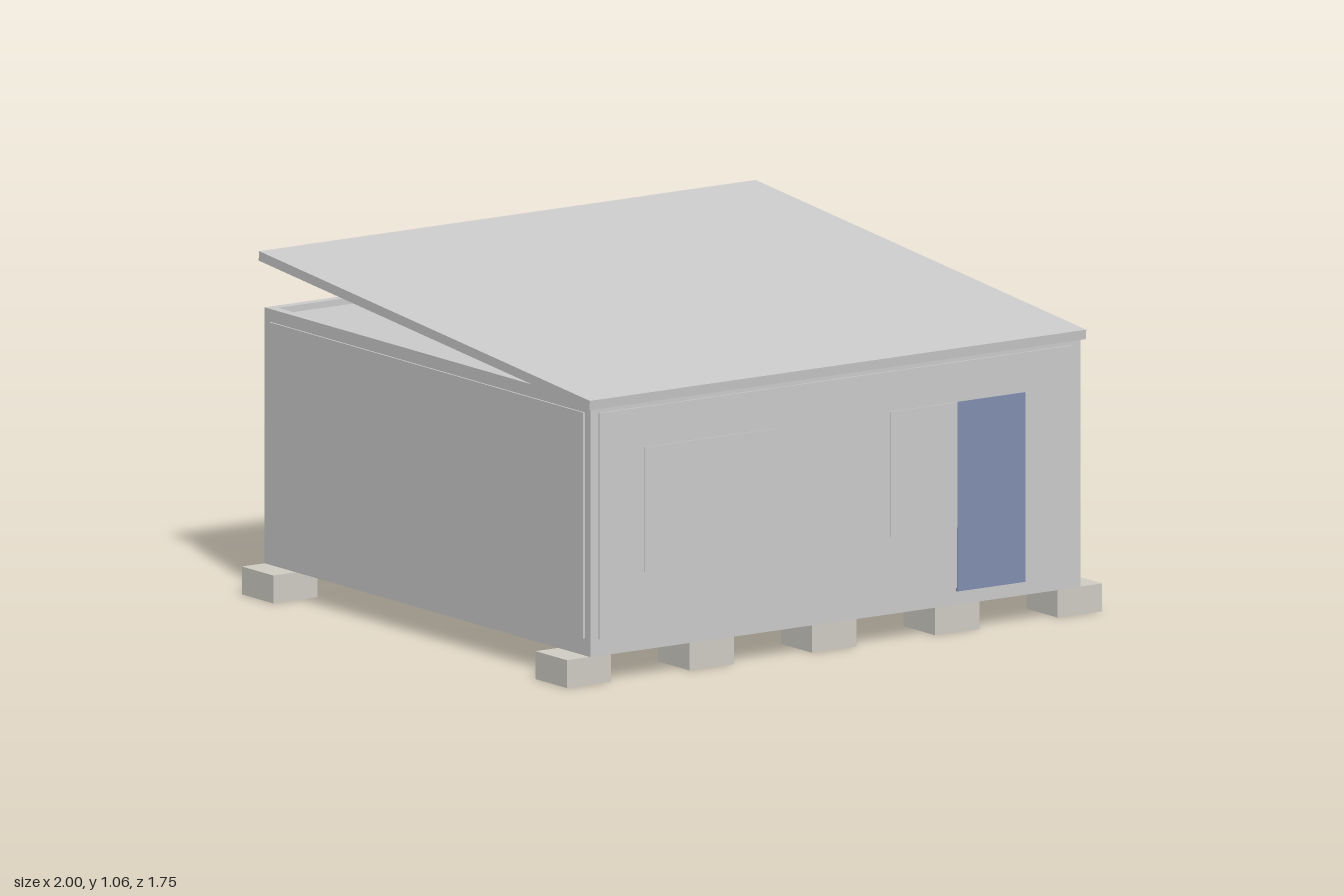
import * as THREE from 'three';

export function createModel() {
  const model = new THREE.Group();
  const paint = (color) => new THREE.MeshStandardMaterial({ color });
  const grey = paint(0xcccccc);
  const concrete = paint(0xd0cdc5);
  const timber = paint(0xd8ceb9);
  const blue = paint(0x828fb1);

  // Box given by its extents along each axis
  function block(name, [x0, x1], [y0, y1], [z0, z1], material = grey) {
    const mesh = new THREE.Mesh(new THREE.BoxGeometry(x1 - x0, y1 - y0, z1 - z0), material);
    mesh.position.set((x0 + x1) / 2, (y0 + y1) / 2, (z0 + z1) / 2);
    mesh.name = name;
    model.add(mesh);
    return mesh;
  }

  const X = 0.915, Z = 0.863;           // half sizes of the frame
  const BASE = 0.087, SILL = 0.14;      // bottom beam
  const HEAD = 0.845, TOP = 0.885;      // top beam
  const POST = 0.03, PROUD = 0.006;     // post width, panel overhang

  // Foundation blocks in two rows
  for (const z of [-0.78, 0.775]) {
    for (let i = -2; i <= 2; i++) {
      const x = i * 0.4585;
      block('foundationBlock', [x - 0.083, x + 0.083], [0, BASE], [z - 0.083, z + 0.083], concrete);
    }
  }

  // Floor and recessed ceiling
  block('floor', [-X + 0.008, X - 0.008], [BASE - 0.001, 0.13], [-Z + 0.008, Z - 0.008], timber);
  block('ceiling', [-X + POST, X - POST], [0.84, 0.865], [-Z + POST, Z - POST]);

  // Frame: bottom and top beams on all four sides, posts in the corners
  for (const s of [-1, 1]) {
    const across = s > 0 ? [Z - POST, Z] : [-Z, -Z + POST];
    const along = s > 0 ? [X - POST, X] : [-X, -X + POST];
    for (const [name, level] of [['bottomBeam', [BASE, SILL]], ['topBeam', [HEAD, TOP]]]) {
      block(name, [-X, X], level, across);
      block(name, along, level, [-Z + POST, Z - POST]);
    }
    for (const side of [[-X, -X + POST], [X - POST, X]]) {
      block('cornerPost', side, [SILL, HEAD], across);
    }

    // Wall panels stand slightly proud of the frame
    const height = [SILL, HEAD];
    const endWall = s > 0 ? [Z - 0.03, Z + PROUD] : [-Z - PROUD, -Z + 0.03];
    const sideWall = s > 0 ? [X - 0.03, X + PROUD] : [-X - PROUD, -X + 0.03];
    block(s > 0 ? 'frontWall' : 'backWall', [-X + POST, X - POST], height, endWall);
    block(s > 0 ? 'leftWall' : 'rightWall', sideWall, height, [-Z + POST, Z - POST]);
  }

  // Windows and door, thin panels on the walls
  const paneHeight = [0.33, 0.72];
  block('frontWindow', [-0.72, -0.22], paneHeight, [Z, Z + PROUD + 0.003]);
  block('frontWindow', [0.2, 0.7], paneHeight, [Z, Z + PROUD + 0.003]);
  block('backWindow', [-0.25, 0.25], paneHeight, [-Z - PROUD - 0.004, -Z]);
  block('door', [0.45, 0.703], [0.13, 0.721], [Z - 0.01, Z + PROUD + 0.004], blue);

  // Sloping roof sheet, rising toward the back
  const slope = Math.atan2(0.17, 1.755);
  const roof = new THREE.Mesh(new THREE.BoxGeometry(1.855, 0.03, 1.76), grey);
  roof.position.set(0, 0.96, 0);
  roof.rotation.x = slope;
  roof.name = 'roof';
  model.add(roof);

  return model;
}
